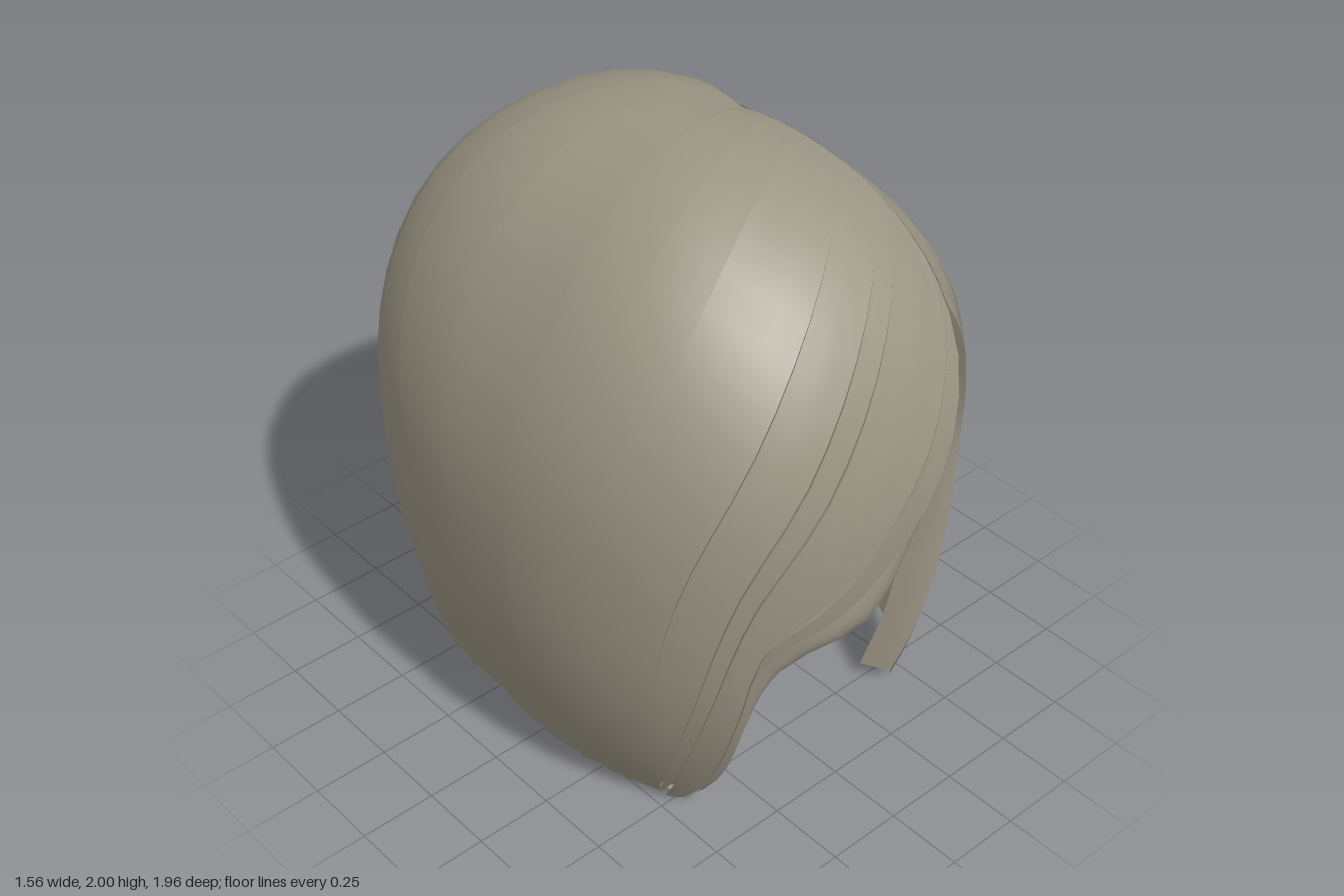
import * as THREE from 'three';
import { mergeGeometries } from 'three/addons/utils/BufferGeometryUtils.js';

const V = (x, y, z) => new THREE.Vector3(x, y, z);
const curve = (pts) => new THREE.CatmullRomCurve3(pts.map((p) => (p.isVector3 ? p : V(...p))), false, 'centripetal');
const smooth = THREE.MathUtils.smoothstep, mix = THREE.MathUtils.lerp;
const AX = 0.78, AZ = 0.985; // half width and half depth of the hair volume
const ROWS = 20, PANELS = 28;

const norm = (a, b, n) => Math.pow(Math.abs(a) ** n + Math.abs(b) ** n, 1 / n);

// Dome above y = 1, tapering skirt below: moves a point onto that volume
function project(p, k = 1) {
  const y = p.y - 1, nx = p.x / AX, nz = p.z / AZ;
  const len = Math.hypot(nx, nz) || 1, left = smooth(nx / len, 0.3, 0.9);
  if (y > 0) {
    // Rounder from front to back than from side to side
    const m = mix(1.96 - 0.1 * left, 2.3, Math.abs(nz) / len);
    const s = k / norm(norm(nx, nz, 2.35), y, m);
    return V(p.x * s, 1 + y * s, p.z * s);
  }
  // The left side flares more than the right, the nape tucks in early and flat
  const back = smooth(-nz / len, 0.2, 0.9);
  const side = (0.29 - 0.1 * left) * Math.pow(-y, 2.4);
  const nape = 0.19 * smooth(-y, 0.08, 0.65);
  const n = 2.35 + 0.9 * smooth(-nz / len, 0, 0.4) * smooth(-y, 0.1, 0.65);
  const s = (k * (1 - mix(side, nape, back))) / norm(nx, nz, n);
  return V(p.x * s, p.y, p.z * s);
}

// Parting from the forehead back to the crown
const parting = curve([[0.31, 1.62, 0.66], [0.31, 1.85, 0.4], [0.27, 1.93, 0.1], [0.27, 1.93, -0.1], [0.34, 1.88, -0.32]]);

// Edges of the face opening, each with an inner lip
const fringeEdge = curve([[0.31, 1.62, 0.66], [0.27, 1.45, 0.77], [0.1, 1.18, 0.93], [-0.2, 0.92, 0.96], [-0.4, 0.8, 0.85],
  [-0.43, 0.5, 0.78], [-0.42, 0.2, 0.68], [-0.4, 0.02, 0.52]]);
const fringeLip = curve([[0.28, 1.53, 0.67], [0.23, 1.33, 0.75], [0.1, 1.03, 0.87], [-0.1, 0.82, 0.94], [-0.33, 0.71, 0.84],
  [-0.41, 0.5, 0.74], [-0.4, 0.2, 0.63], [-0.39, 0.02, 0.48]]);
const sideEdge = curve([[0.31, 1.6, 0.66], [0.37, 1.48, 0.69], [0.5, 1.2, 0.66], [0.56, 1, 0.64], [0.55, 0.7, 0.63],
  [0.47, 0.3, 0.6], [0.4, 0.05, 0.55]]);
const sideLip = curve([[0.28, 1.53, 0.62], [0.33, 1.42, 0.62], [0.45, 1.16, 0.58], [0.49, 1, 0.56], [0.48, 0.7, 0.56],
  [0.42, 0.3, 0.54], [0.37, 0.05, 0.49]]);

// Guide strands: [place on parting, angle at y = 1, angle at hem, hem height]
const guides = [
  [0.2, 0.62, 0.9, 0.03], [0.42, 1.1, 1.15, 0.05], [0.66, 1.57, 1.57, 0.1], [0.88, 2.15, 2.15, 0.15],
  [1, 2.7, 2.7, 0.2], [1, 3.14, 3.14, 0.26], [1, 3.55, 3.55, 0.29], [0.9, 4.05, 4.05, 0.2],
  [0.62, 4.65, 4.65, 0.13], [0.25, 5.2, 5.2, 0.08],
].map(([s, a, hemA, hemY]) => {
  const ring = (t, y) => project(V(-AX * Math.sin(t), y, AZ * Math.cos(t)));
  const root = parting.getPoint(s), eq = ring(a, 1);
  return curve([root, project(root.clone().lerp(eq, 0.33)), project(root.clone().lerp(eq, 0.67)), eq,
    ring((a + hemA) / 2, 0.55), ring(hemA, hemY)]);
});
const all = [fringeEdge, ...guides, sideEdge];

// One smooth crossing curve per row, through every guide
const rows = [];
for (let j = 0; j <= ROWS; j++) {
  rows.push(new THREE.CatmullRomCurve3(all.map((g) => g.getPointAt(j / ROWS)), false, 'catmullrom', 0.5));
}
function outer(u, j, k = 1) {
  const v = j / ROWS;
  const groove = 0.02 * smooth(u, 0.62, 0.8) * smooth(v, 0, 0.05) * (1 - smooth(v, 0.08, 0.3));
  const tuck = 0.06 * smooth(u, 0.9, 1) * smooth(v, 0.05, 0.3);
  return project(rows[j].getPoint(u), k - groove - tuck);
}
function inner(u, j) {
  const p = outer(u, j, 0.96);
  p.lerp(fringeLip.getPointAt(j / ROWS), 1 - smooth(u, 0, 0.07));
  return p.lerp(sideLip.getPointAt(j / ROWS), smooth(u, 0.94, 1));
}

// Grid surface from a point function (column, row)
function grid(cols, rowCount, fn) {
  const pos = [], idx = [];
  for (let i = 0; i <= cols; i++) {
    for (let j = 0; j <= rowCount; j++) {
      pos.push(...fn(i, j).toArray());
      if (i < cols && j < rowCount) {
        const a = i * (rowCount + 1) + j, b = a + rowCount + 1;
        idx.push(a, b, a + 1, b, b + 1, a + 1);
      }
    }
  }
  const g = new THREE.BufferGeometry();
  g.setAttribute('position', new THREE.Float32BufferAttribute(pos, 3));
  g.setIndex(idx);
  g.computeVertexNormals();
  return g;
}

export function createModel() {
  const hair = new THREE.MeshStandardMaterial({ color: 0x9a9483, side: THREE.DoubleSide });
  hair.name = 'taupe hair';
  const group = new THREE.Group();
  group.name = 'bobHair';
  const add = (name, geometry) => {
    const m = new THREE.Mesh(geometry, hair);
    m.name = name;
    group.add(m);
  };
  let seed = 7;
  const rand = () => (seed = (seed * 16807) % 2147483647) / 2147483647;

  // Overlapping locks, each stepping slightly over the next, with a ragged hem
  const cuts = [];
  for (let i = 0; i <= PANELS; i++) {
    cuts.push(i === 0 || i === PANELS ? i / PANELS : (i + (rand() - 0.5) * 0.8) / PANELS);
  }
  const lockPoint = (u, w, j, drop) => {
    const v = j / ROWS;
    const p = outer(u, j, 1 - 0.01 * (1 - w) * smooth(v, 0.1, 0.4));
    p.y = Math.max(0, p.y - drop * smooth(v, 0.85, 1));
    return p;
  };
  const locks = [], steps = [];
  for (let i = 0; i < PANELS; i++) {
    const [u0, u1] = [cuts[i], cuts[i + 1]];
    const drop = rand() * 0.03, tilt = (rand() - 0.5) * 0.04;
    locks.push(grid(3, ROWS, (c, j) => {
      const w = c / 3;
      return lockPoint(u0 + (u1 - u0) * w, w, j, drop + tilt * (w - 0.5));
    }));
    if (i < PANELS - 1) steps.push(grid(1, ROWS, (c, j) => lockPoint(u1, 1 - c, j, 0)));
  }
  add('hairLocks', mergeGeometries(locks));
  add('lockSteps', mergeGeometries(steps));

  // Inside of the hair and the thickness along the hem
  add('innerShell', grid(84, ROWS, (i, j) => inner(1 - i / 84, j)));
  add('hemThickness', grid(84, 1, (i, j) => (j ? inner(i / 84, ROWS) : outer(i / 84, ROWS, 0.99))));

  // Rolled lips framing the face
  const lip = (u, k0) => (c, j) => {
    const t = c / 4, p = inner(u, j).lerp(outer(u, j, k0), t);
    p.z += 0.02 * Math.sin(Math.PI * t) * Math.sin((Math.PI * j) / ROWS);
    return p;
  };
  add('fringeLip', grid(4, ROWS, lip(0, 0.99)));
  add('sideLip', grid(4, ROWS, (c, j) => lip(1, 1)(4 - c, j)));
  return group;
}
